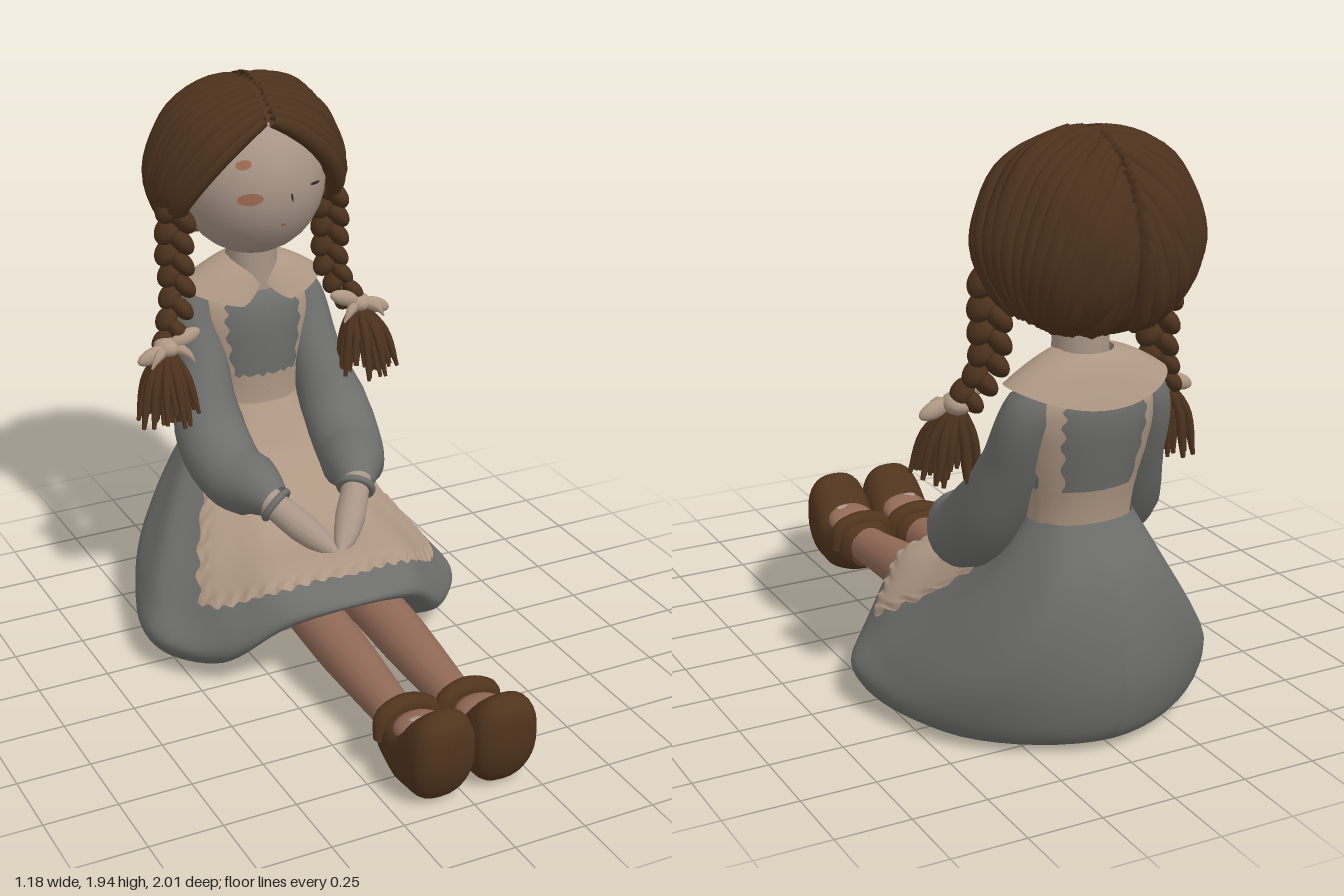
import * as THREE from 'three';

const V = (x, y, z) => new THREE.Vector3(x, y, z);
const mat = (name, color, double) => {
  const m = new THREE.MeshStandardMaterial({ color, side: double ? THREE.DoubleSide : THREE.FrontSide });
  m.name = name;
  return m;
};
let seed = 7;
const rand = () => (seed = (seed * 16807) % 2147483647) / 2147483647;

export function createModel() {
  const M = {
    dress: mat('dress grey', 0x6e6e6c, true), apron: mat('apron cream', 0xae9783, true),
    skin: mat('pale skin', 0xa89587), stocking: mat('stocking brown', 0x926a57),
    hair: mat('hair brown', 0x4c321d, true), shoe: mat('shoe brown', 0x50341d, true),
    blush: mat('blush', 0xa06c52), lash: mat('lash dark', 0x2c231e),
  };
  const root = new THREE.Group();
  root.name = 'seatedDoll';
  const add = (name, geo, m, parent = root) => {
    const mesh = new THREE.Mesh(geo, m);
    mesh.name = name;
    parent.add(mesh);
    return mesh;
  };
  const blob = (name, m, p, s, parent = root) => {
    const mesh = add(name, new THREE.SphereGeometry(1, 24, 16), m, parent);
    mesh.position.set(...p);
    mesh.scale.set(...s);
    return mesh;
  };
  // Surface through a grid of points, rows x columns
  const loft = (rows) => {
    const n = rows[0].length, idx = [];
    for (let i = 0; i < rows.length - 1; i++) for (let j = 0; j < n - 1; j++) {
      const a = i * n + j, d = a + n;
      idx.push(a, d, a + 1, d, d + 1, a + 1);
    }
    const g = new THREE.BufferGeometry().setFromPoints(rows.flat());
    g.setIndex(idx);
    g.computeVertexNormals();
    return g;
  };
  const grid = (ni, nj, f) => loft(Array.from({ length: ni + 1 }, (_, i) =>
    Array.from({ length: nj + 1 }, (_, j) => f(i / ni, j / nj))));
  // Tube whose radius follows a list of values
  const sweep = (pts, radii, segs = 24, sides = 14) => {
    const curve = new THREE.CatmullRomCurve3(pts);
    const g = new THREE.TubeGeometry(curve, segs, 1, sides), pos = g.attributes.position, v = V();
    for (let i = 0; i <= segs; i++) {
      const c = curve.getPointAt(i / segs), f = (i / segs) * (radii.length - 1);
      const k = Math.min(Math.floor(f), radii.length - 2);
      const r = THREE.MathUtils.lerp(radii[k], radii[k + 1], f - k);
      for (let j = 0; j <= sides; j++) {
        const q = i * (sides + 1) + j;
        v.fromBufferAttribute(pos, q).sub(c).multiplyScalar(r).add(c);
        pos.setXYZ(q, v.x, v.y, v.z);
      }
    }
    return g;
  };

  // Skirt: half rings from waist to hem, then the underside
  const halves = [
    [[0, .74, -.56], [.07, .74, -.57], [.14, .74, -.63], [.17, .74, -.7], [.12, .74, -.8], [0, .74, -.83]],
    [[0, .55, -.42], [.13, .56, -.43], [.23, .56, -.52], [.28, .56, -.66], [.2, .56, -.86], [0, .56, -.92]],
    [[0, .42, -.18], [.2, .42, -.19], [.34, .39, -.32], [.42, .36, -.52], [.32, .36, -.83], [0, .36, -.96]],
    [[0, .385, .06], [.25, .365, .03], [.42, .26, -.1], [.54, .2, -.33], [.42, .18, -.74], [0, .18, -.955]],
    [[0, .33, .22], [.24, .28, .16], [.43, .13, .02], [.59, .11, -.23], [.43, .04, -.66], [0, .04, -.9]],
    [[0, .25, .09], [.2, .18, .0], [.36, .02, -.12], [.49, .0, -.28], [.34, .0, -.62], [0, .0, -.78]],
    Array(6).fill([0, .02, -.4]),
  ];
  const rings = halves.map((h, k) => {
    const off = .025 * Math.max(0, 1 - k / 3);
    const right = h.map(p => V(p[0] + off, p[1], p[2]));
    const left = h.slice(1, 5).reverse().map(p => V(off - p[0], p[1], p[2]));
    return new THREE.CatmullRomCurve3([...right, ...left], true);
  });
  const skirtPoint = (u, v) => {
    const p = new THREE.CatmullRomCurve3(rings.map(r => r.getPoint(((u / 2) % 1 + 1) % 1))).getPoint(v);
    const w = v < .66 ? Math.sin(v / .66 * Math.PI) : 0;
    const s = 1 + .014 * w * Math.sin(u * Math.PI * 10 + 1);
    return V(p.x * s, Math.max(0, p.y), -.6 + (p.z + .6) * s);
  };
  add('skirt', grid(42, 80, (i, j) => skirtPoint(j * 2 - 1, i)), M.dress);

  // Apron laid over the skirt, with a ruffled border
  const apronPoint = (i, j, lift) => {
    const s = j * 2 - 1;
    const u = s * .445 * (1 + .02 * Math.sin(i * 45) * Math.abs(s) ** 8) + .02;
    const v = i * (3.25 - .3 * s ** 4 + (i > .95 ? .04 * Math.sin(j * 130) : 0)) / 6;
    const p = skirtPoint(u, v);
    const edge = Math.max(i, Math.abs(s)) > .93 ? .005 * Math.sin(j * 110 + i * 60) : 0;
    return p.add(p.clone().sub(V(0, -.3, -.4)).setLength(lift + edge));
  };
  add('apron', grid(40, 90, (i, j) => apronPoint(i, j, .018)), M.apron);

  // Torso, straps and waistband share one oval profile
  const profile = new THREE.SplineCurve([[.155, .68], [.16, .8], [.19, .95], [.205, 1.07], [.18, 1.15], [.08, 1.22]]
    .map(p => new THREE.Vector2(...p)));
  const torsoPoint = (a, t, k = 1) => {
    const p = profile.getPoint(t), r = p.x * k;
    return V(.028 + r * Math.sin(a), p.y, -.7 - (p.y - .75) * .1 + r * .74 * Math.cos(a));
  };
  const TAU = Math.PI * 2;
  add('bodice', grid(20, 40, (i, j) => torsoPoint(j * TAU, 1 - i)), M.dress);
  add('waistband', grid(4, 48, (i, j) => torsoPoint(j * TAU, .27 - .27 * i, 1.09 + .012 * Math.sin(j * 130))), M.apron);
  for (const a0 of [.72, -1.22, Math.PI - 1.22, Math.PI + .72])
    add('apronStrap', grid(28, 5, (i, j) => {
      const outer = Math.sin(a0) * Math.cos(a0) > 0 ? j : 1 - j;
      const ruffle = .05 * Math.sin(i * 38);
      return torsoPoint(a0 + .5 * j + ruffle * (j === 0 || j === 1 ? 1 : 0), .92 - .7 * i, 1.05 + .05 * outer);
    }), M.apron);
  add('bibTop', grid(3, 16, (i, j) => torsoPoint(-.8 + 1.6 * j, .28 - .1 * i + .01 * Math.sin(j * 40), 1.06)), M.apron);

  // Rounded two-lobed collar
  add('collar', grid(8, 72, (i, j) => {
    const a = j * TAU, d = Math.min(a, TAU - a);
    const open = Math.min(1, .35 + d * 2);
    const r = THREE.MathUtils.lerp(.085, .085 + .185 * open, i);
    const rz = THREE.MathUtils.lerp(.08, .08 + .09 * open, i);
    const drop = .02 + (.1 + .03 * Math.cos(a * 2)) * open;
    return V(.03 + r * Math.sin(a), 1.275 - drop * i ** 1.5, -.735 + rz * Math.cos(a));
  }), M.apron);
  add('neck', new THREE.CylinderGeometry(.085, .09, .24, 24), M.skin).position.set(.03, 1.29, -.7);

  // Arms, hands, legs and shoes, mirrored about the body line
  const shoeRows = [[.64, .06, .2, .07], [.67, .04, .23, .095], [.74, .015, .215, .105], [.8, .0, .215, .11],
    [.86, .0, .28, .114], [.92, .005, .325, .113], [.96, .05, .318, .104], [.99, .13, .29, .07], [1, .22, .22, 0]];
  const shoeRing = ([z, b, t, w]) => Array.from({ length: 33 }, (_, j) => {
    const a = j / 32 * TAU, s = Math.sin(a), c = Math.cos(a);
    return V(w * Math.sign(s) * Math.abs(s) ** .8, (b + t) / 2 + (t - b) / 2 * Math.sign(c) * Math.abs(c) ** .8, z);
  });
  const shoeCurves = Array.from({ length: 33 }, (_, j) => new THREE.CatmullRomCurve3(shoeRows.map(r => shoeRing(r)[j])));
  for (const s of [-1, 1]) {
    const side = s > 0 ? 'left' : 'right', X = x => .028 + s * x;
    add(side + 'Sleeve', sweep([V(X(.1), 1.16, -.74), V(X(.19), 1.1, -.74), V(X(.22), .9, -.66), V(X(.245), .69, -.53),
      V(X(.23), .595, -.38), V(X(.19), .58, -.27), V(X(.16), .555, -.19)],
    [.04, .085, .09, .095, .105, .125, .128, .122, .112, .062], 36, 20), M.dress);
    const cuff = add(side + 'Cuff', new THREE.TorusGeometry(.058, .013, 10, 24), M.dress);
    cuff.position.set(X(.155), .545, -.185);
    cuff.lookAt(X(.07), .46, -.07);
    add(side + 'Hand', sweep([V(X(.18), .565, -.22), V(X(.12), .505, -.14), V(X(.055), .445, -.06), V(X(.002), .395, -.005)],
      [.05, .05, .052, .054, .048, .036, .006], 20, 14), M.skin);
    add(side + 'Leg', sweep([V(X(.1), .22, -.2), V(X(.11), .195, .1), V(X(.11), .165, .4), V(X(.11), .13, .72)],
      [.07, .092, .09, .088, .08, .07, .068], 24, 20), M.stocking);
    const shoe = new THREE.Group();
    shoe.name = side + 'Shoe';
    shoe.position.x = X(.112);
    root.add(shoe);
    add('shoeBody', grid(32, 32, (i, j) => shoeCurves[Math.round(j * 32)].getPoint(i)), M.shoe, shoe);
    add('shoeHeel', new THREE.CircleGeometry(.068, 20).rotateY(Math.PI), M.shoe, shoe).position.set(0, .125, .642);
    blob('footTop', M.stocking, [0, .19, .79], [.088, .05, .085], shoe).rotation.x = -.25;
    blob('footShine', M.skin, [s * .02, .237, .81], [.03, .006, .016], shoe).rotation.x = -.15;
    add('shoeStrap', sweep([V(-.1, .12, .705), V(-.082, .195, .7), V(0, .222, .695), V(.082, .195, .7), V(.1, .12, .705)],
      [.02, .033, .035, .033, .02], 20, 12), M.shoe, shoe);
  }

  // Head and painted face
  const H = [.01, 1.585, -.665], R = [.262, .275, .268];
  blob('head', M.skin, H, R);
  const dab = (name, m, x, y, w, h, turn = 0) => {
    const g = new THREE.CircleGeometry(1, 12).scale(w, h, 1).rotateZ(turn).translate(x, y, 0), p = g.attributes.position;
    for (let i = 0; i < p.count; i++) {
      const q = ((p.getX(i) - H[0]) / R[0]) ** 2 + ((p.getY(i) - H[1]) / R[1]) ** 2;
      p.setZ(i, H[2] + R[2] * Math.sqrt(1 - q) + .004);
    }
    g.computeVertexNormals();
    add(name, g, m);
  };
  dab('browBlush', M.blush, -.11, 1.695, .026, .015, .3);
  dab('cheekBlush', M.blush, -.1, 1.58, .042, .022, .1);
  dab('brow', M.lash, .155, 1.71, .016, .005, -.4);
  dab('eyelash', M.lash, .15, 1.6, .026, .005, -.1);
  dab('nose', M.lash, .045, 1.575, .004, .016, .2);
  dab('mouth', M.blush, .02, 1.475, .01, .006);

  // Hair cap, open over the face
  const C = V(0, 1.6, -.69), HR = V(.33, .315, .282);
  const hairline = new THREE.SplineCurve([[0, 1.82], [.4, 1.775], [.75, 1.67], [1.1, 1.5], [1.6, 1.39], [2.4, 1.35], [3.15, 1.34]]
    .map(p => new THREE.Vector2(...p))).getPoints(80);
  add('hairCap', grid(24, 96, (i, j) => {
    const a = j * TAU, d = Math.min(a, TAU - a);
    const y = (hairline.find(p => p.x >= d - 1e-6) || hairline[80]).y;
    const t = i * Math.acos((y - C.y) / HR.y);
    return V(Math.sin(t) * Math.sin(a), Math.cos(t), Math.sin(t) * Math.cos(a)).multiply(HR).add(C);
  }), M.hair);
  // Locks combed from the centre part down to the braids and nape
  for (const s of [-1, 1]) for (let k = 0; k < 24; k++) {
    const f = k / 23, e = .78 + f * 2.13;
    const from = V(s * .05, Math.sin(e), Math.cos(e)).normalize();
    const to = V(s * (.83 - .68 * f * f), -.58 - .2 * f, .04 - .68 * f).normalize();
    const thick = .85 + .3 * rand();
    const pts = [0, .2, .4, .6, .8, 1].map(t => from.clone().lerp(to, t).normalize()
      .multiplyScalar(1 + .035 * (rand() - .5)).multiply(HR).add(C));
    add('hairLock', sweep(pts, [.024, .034, .037, .036, .03, .018].map(r => r * thick), 18, 8), M.hair);
  }

  // Braids, bows and loose ends
  for (const s of [-1, 1]) {
    const braid = new THREE.Group();
    braid.name = s > 0 ? 'leftBraid' : 'rightBraid';
    root.add(braid);
    const K = V(s * .37, s > 0 ? 1.09 : 1.05, -.545);
    const path = new THREE.CatmullRomCurve3([V(s * .29, 1.52, -.62), V(s * .3, 1.38, -.625), V(s * .3, 1.22, -.61),
      V(K.x - s * .015, K.y + .01, -.56)]);
    for (let i = 0; i < 13; i++) {
      const p = path.getPointAt(i / 12), k = i % 2 ? 1 : -1, w = 1 - .02 * i;
      blob('braidStrand', M.hair, [p.x + k * .02, p.y, p.z + k * .014], [.038 * w, .06 * w, .06 * w], braid).rotation.z = k * .65;
    }
    blob('bowKnot', M.apron, K.toArray(), [.045, .035, .055], braid);
    for (const k of [-1, 1]) {
      const loop = blob('bowLoop', M.apron, [K.x + k * .06, K.y + (k === s ? -.015 : .03), K.z + .02], [.06, .028, .025], braid);
      loop.rotation.z = -s * .35;
      add('bowTail', sweep([K.clone(), V(K.x + k * .05, K.y - .01, K.z + .05), V(K.x + k * .08, K.y - .05, K.z + .055)],
        [.012, .02, .003], 8, 6), M.apron, braid);
    }
    for (let i = 0; i < 34; i++) {
      const a = i * 2.4, r = Math.sqrt((i + .5) / 34), x = Math.cos(a) * r, z = Math.sin(a) * r;
      add('looseEnd', sweep([K.clone(), V(K.x + s * .015 + x * .075, K.y - .1, K.z + .03 + z * .07),
        V(K.x + s * .02 + x * .115, K.y - .2 - .07 * rand(), K.z + .05 + z * .105)],
      [.016, .017, .017, .014, .007], 10, 6), M.hair, braid);
    }
  }
  return root;
}
